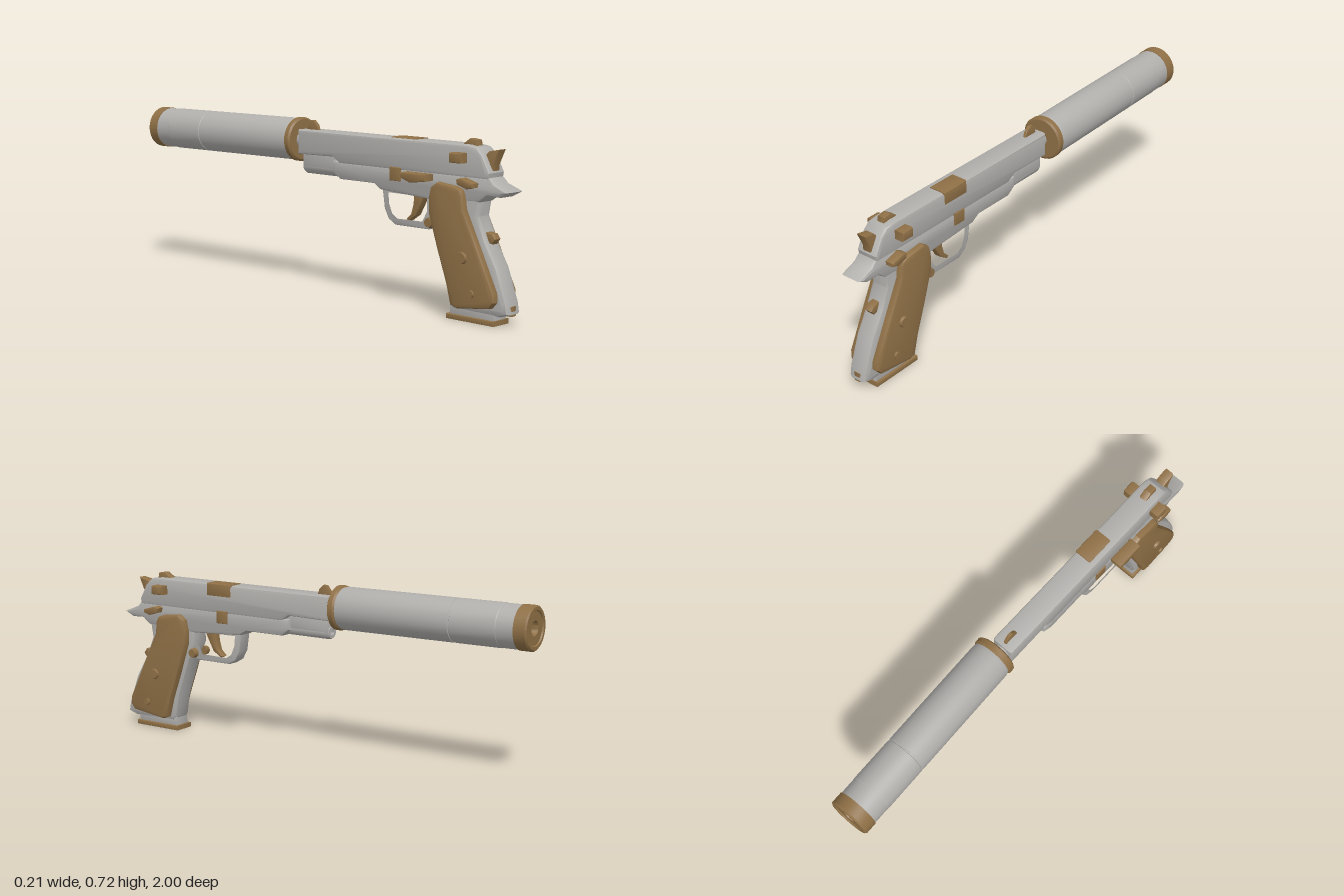
import * as THREE from 'three';
import { toCreasedNormals } from 'three/addons/utils/BufferGeometryUtils.js';

const steel = new THREE.MeshStandardMaterial({ color: 0xb0afac });
steel.name = 'grey steel';
const bronze = new THREE.MeshStandardMaterial({ color: 0x8f7046 });
bronze.name = 'brown bronze';

export function createModel() {
  const model = new THREE.Group();
  const body = new THREE.Group();
  body.name = 'body';
  body.position.x = 0.004;
  model.add(body);

  function add(name, geometry, material, parent = body) {
    const mesh = new THREE.Mesh(geometry, material);
    mesh.name = name;
    parent.add(mesh);
    return mesh;
  }

  // Side outline given as [z, y] points, extruded across x
  function plate(points, width, bevel, x = 0, hole = null) {
    const shape = new THREE.Shape(points.map(p => new THREE.Vector2(...p)));
    if (hole) shape.holes.push(new THREE.Path(hole.map(p => new THREE.Vector2(...p))));
    const g = new THREE.ExtrudeGeometry(shape, {
      depth: width - 2 * bevel, bevelEnabled: bevel > 0, bevelThickness: bevel,
      bevelSize: bevel, bevelOffset: -bevel, bevelSegments: 2,
    });
    g.translate(0, 0, -(width - 2 * bevel) / 2);
    g.rotateY(-Math.PI / 2);
    g.translate(x, 0, 0);
    return toCreasedNormals(g, 0.6);
  }

  // Rectangular block between z and y limits
  const block = (z0, z1, y0, y1, width, x = 0, bevel = 0.006) =>
    plate([[z0, y0], [z1, y0], [z1, y1], [z0, y1]], width, bevel, x);

  // Turned part: [radius, distance toward -z] points
  function turned(points, sides = 32) {
    const g = new THREE.LatheGeometry(points.map(p => new THREE.Vector2(...p)), sides);
    g.rotateX(-Math.PI / 2);
    return toCreasedNormals(g.toNonIndexed(), 0.6);
  }

  // Slide with slanted back and stepped underside
  add('slide', plate([
    [0.905, 0.55], [0.91, 0.575], [0.875, 0.64], [0.845, 0.668], [0.80, 0.674],
    [-0.10, 0.674], [-0.10, 0.572], [0.10, 0.575], [0.14, 0.55],
  ], 0.1, 0.013), steel);
  add('ejectionPort', block(0.40, 0.53, 0.622, 0.677, 0.08, 0.013, 0.008), bronze);

  // Frame, tail and front cover
  add('frame', plate([
    [0.91, 0.558], [0.93, 0.537], [1.0, 0.51], [0.958, 0.488], [0.90, 0.49],
    [0.86, 0.462], [0.62, 0.45], [0.36, 0.465], [0.325, 0.487], [0.14, 0.487],
    [0.10, 0.515], [0.10, 0.56], [0.14, 0.56],
  ], 0.096, 0.012), steel);
  add('frontCover', block(-0.085, 0.16, 0.52, 0.58, 0.064), steel);
  add('springTube', turned([
    [0.012, 0.02], [0, 0], [0.031, 0], [0.031, 0.24], [0.026, 0.25],
    [0.013, 0.25], [0.013, 0.225], [0, 0.225],
  ].slice(1), 16), steel).position.set(0, 0.521, 0.163);

  // Grip core, narrowing toward its front and back straps
  add('gripCore', plate([
    [0.85, 0.51], [0.86, 0.465], [0.85, 0.406], [0.89, 0.316], [0.946, 0.22],
    [0.992, 0.095], [1.0, 0.05], [0.957, 0.037], [0.735, 0.04], [0.716, 0.06],
    [0.70, 0.155], [0.636, 0.332], [0.605, 0.40], [0.605, 0.50],
  ], 0.09, 0.02), steel);
  add('magazine', block(0.72, 0.935, 0.012, 0.06, 0.076), steel);
  add('basePlate', block(0.71, 0.94, 0, 0.02, 0.098, 0, 0.004), bronze);
  add('heelLoop', block(0.955, 0.998, 0.042, 0.08, 0.036), bronze);
  add('backstrapButton', plate([
    [0.87, 0.31], [0.905, 0.305], [0.92, 0.325], [0.905, 0.345], [0.865, 0.35],
  ], 0.038, 0.006), bronze);

  // Trigger guard and trigger
  add('triggerGuard', plate([
    [0.645, 0.475], [0.645, 0.345], [0.60, 0.33], [0.43, 0.33], [0.395, 0.35],
    [0.373, 0.39], [0.36, 0.475],
  ], 0.062, 0.006, 0, [
    [0.60, 0.462], [0.603, 0.40], [0.575, 0.352], [0.44, 0.35],
    [0.41, 0.37], [0.393, 0.41], [0.388, 0.462],
  ]), steel);
  add('trigger', plate([
    [0.575, 0.47], [0.55, 0.42], [0.525, 0.375], [0.487, 0.35], [0.475, 0.356],
    [0.50, 0.38], [0.512, 0.42], [0.515, 0.47],
  ], 0.034, 0.005), bronze);

  // Hammer and sights
  add('hammer', plate([
    [0.935, 0.664], [0.885, 0.655], [0.85, 0.62], [0.86, 0.56], [0.905, 0.56],
    [0.908, 0.605],
  ], 0.042, 0.005), bronze);
  add('rearSight', plate([
    [0.83, 0.66], [0.825, 0.692], [0.79, 0.696], [0.755, 0.672], [0.755, 0.66],
  ], 0.034, 0.004), bronze);
  add('frontSight', plate([
    [-0.015, 0.668], [-0.025, 0.695], [-0.045, 0.713], [-0.062, 0.713],
    [-0.08, 0.69], [-0.085, 0.668],
  ], 0.014, 0.003), bronze);

  // Parts that repeat on both sides
  const panel = [
    [0.79, 0.505], [0.765, 0.515], [0.675, 0.525], [0.645, 0.505], [0.636, 0.465],
    [0.637, 0.40], [0.68, 0.27], [0.727, 0.14], [0.748, 0.06], [0.775, 0.05],
    [0.935, 0.07], [0.957, 0.095], [0.955, 0.13], [0.88, 0.283], [0.805, 0.433],
    [0.80, 0.485],
  ];
  function disc(name, s, z, y, r, out) {
    const g = new THREE.CylinderGeometry(r * 0.75, r, 0.03, 12);
    g.rotateZ(-s * Math.PI / 2);
    add(name, g, bronze).position.set(s * (out - 0.015), y, z);
  }
  for (const s of [1, -1]) {
    const side = s > 0 ? 'left' : 'right';
    add(side + 'GripPanel', plate(panel, 0.052, 0.014, s * 0.05), bronze);
    disc(side + 'UpperScrew', s, 0.81, 0.25, 0.028, 0.087);
    disc(side + 'LowerScrew', s, 0.855, 0.118, 0.018, 0.084);
    disc(side + 'MagazineButton', s, 0.617, 0.36, 0.024, 0.052);
    add(side + 'SlideLever', block(0.75, 0.807, 0.607, 0.645, 0.055, s * 0.065, 0.008), bronze);
    add(side + 'FramePin', block(0.42, 0.475, 0.508, 0.562, 0.02, s * 0.046, 0.004), bronze);
    add(side + 'SafetyLever', plate([
      [0.86, 0.52], [0.86, 0.535], [0.80, 0.552], [0.78, 0.545], [0.785, 0.525], [0.83, 0.512],
    ], 0.05, 0.006, s * 0.06), bronze);
  }
  add('slideRelease', plate([
    [0.64, 0.525], [0.64, 0.552], [0.515, 0.552], [0.515, 0.53], [0.56, 0.515],
  ], 0.055, 0.006, -0.073), bronze);

  // Barrel end and long muffler tube, turned slightly sideways
  add('barrel', turned([[0, 0], [0.034, 0], [0.034, 0.08], [0, 0.08]], 20), steel)
    .position.set(0, 0.627, -0.07);
  const tube = new THREE.Group();
  tube.name = 'muffler';
  tube.position.set(0.013, 0.628, -0.12);
  tube.rotation.y = 0.033;
  model.add(tube);
  add('rearCollar', turned([
    [0, 0], [0.084, 0], [0.092, 0.006], [0.092, 0.026], [0.084, 0.034], [0, 0.034],
  ]), bronze, tube);
  add('mufflerTube', turned([
    [0, 0.03], [0.084, 0.03], [0.088, 0.045], [0.088, 0.546], [0.085, 0.548],
    [0.085, 0.553], [0.088, 0.555], [0.088, 0.75], [0.0865, 0.752], [0.0865, 0.828], [0, 0.828],
  ]), steel, tube);
  add('endCap', turned([
    [0, 0.825], [0.089, 0.825], [0.089, 0.874], [0.083, 0.88], [0.07, 0.88],
    [0.066, 0.875], [0.03, 0.875], [0.026, 0.84], [0, 0.84],
  ]), bronze, tube);

  return model;
}
